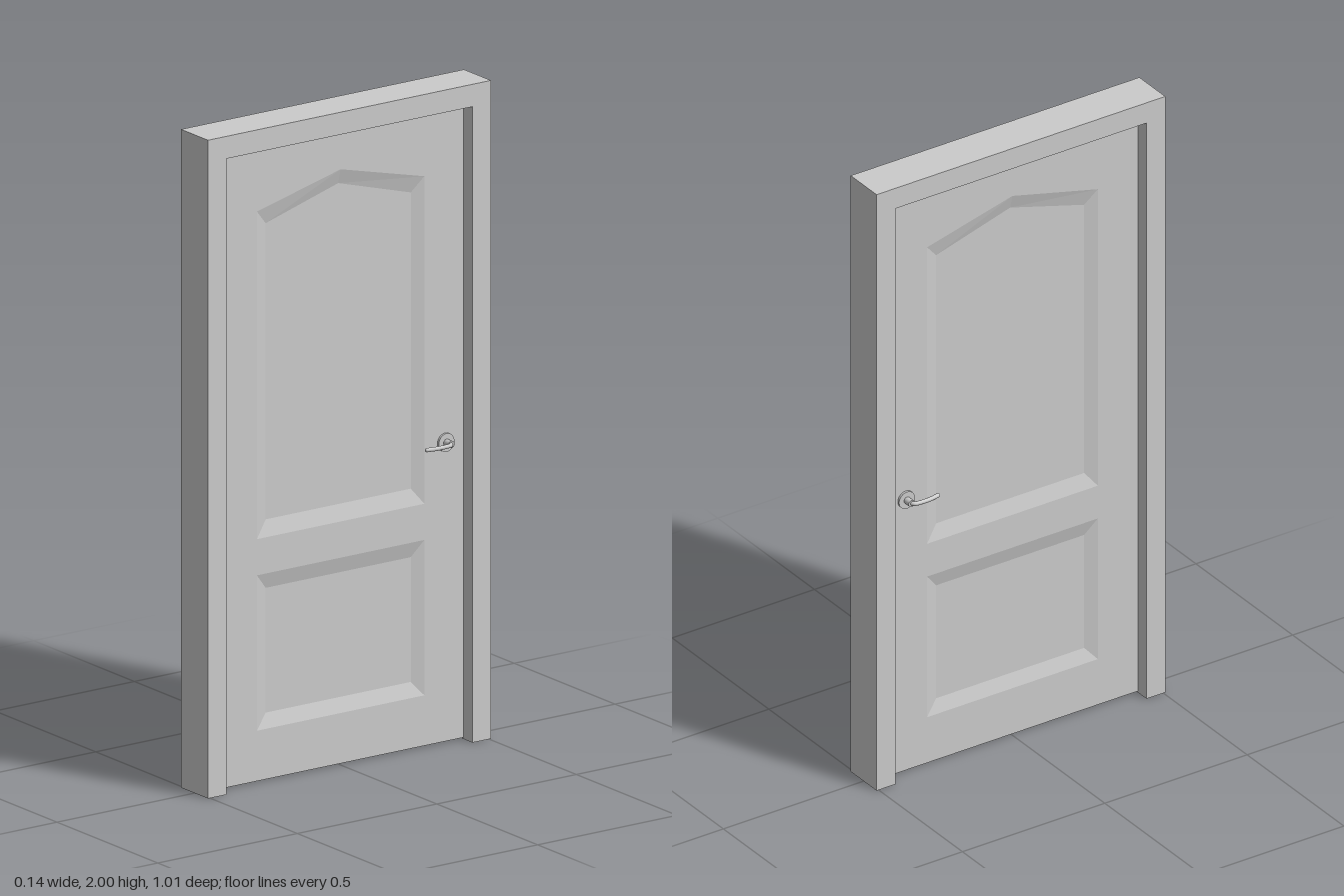
import * as THREE from 'three';

const W = 0.507, H = 2, D = 0.067;        // frame half width, height, half depth
const w = 0.441, T = 1.932;               // opening half width and height
const t = 0.023, RECESS = 0.012;          // door half thickness, panel depth

const mat = new THREE.MeshStandardMaterial({ color: 0xcccccc, side: THREE.DoubleSide });

const points = list => list.map(([x, y]) => new THREE.Vector2(x, y));

// Flat-shaded strip joining two matching outlines at two depths
function strip(a, za, b, zb, closed = true) {
  const pos = [];
  const n = closed ? a.length : a.length - 1;
  for (let i = 0; i < n; i++) {
    const j = (i + 1) % a.length;
    const p = [a[i].x, a[i].y, za], q = [a[j].x, a[j].y, za];
    const r = [b[j].x, b[j].y, zb], s = [b[i].x, b[i].y, zb];
    pos.push(...p, ...q, ...r, ...p, ...r, ...s);
  }
  const g = new THREE.BufferGeometry();
  g.setAttribute('position', new THREE.Float32BufferAttribute(pos, 3));
  g.computeVertexNormals();
  return g;
}

function add(parent, name, geometry) {
  const mesh = new THREE.Mesh(geometry, mat);
  mesh.name = name;
  parent.add(mesh);
  return mesh;
}

// Group whose local +z points to the +x (s = 1) or -x (s = -1) side
function sideGroup(name, s) {
  const g = new THREE.Group();
  g.name = name;
  g.rotation.y = s * Math.PI / 2;
  return g;
}

// Hollow casing, open at the feet
function createFrame() {
  const frame = new THREE.Group();
  frame.name = 'frame';
  const outer = points([[W, 0], [W, H], [-W, H], [-W, 0]]);
  const inner = points([[-w, 0], [-w, T], [w, T], [w, 0]]);
  for (const s of [1, -1]) {
    const side = sideGroup('frameSide', s);
    add(side, 'casingFace', new THREE.ShapeGeometry(new THREE.Shape([...outer, ...inner]))).position.z = D;
    frame.add(side);
  }
  const edges = sideGroup('frameEdges', 1);
  add(edges, 'outerEdge', strip(outer, -D, outer, D, false));
  add(edges, 'jambLining', strip(inner, -D, inner, D, false));
  frame.add(edges);
  return frame;
}

// Outer and inner outlines of the two recessed panels
const PANELS = [
  {
    name: 'upperPanel',
    outer: points([[-0.3, 0.74], [0.3, 0.74], [0.3, 1.735], [0, 1.81], [-0.3, 1.735]]),
    inner: points([[-0.26, 0.79], [0.26, 0.79], [0.26, 1.69], [0, 1.765], [-0.26, 1.69]]),
  },
  {
    name: 'lowerPanel',
    outer: points([[-0.3, 0.158], [0.3, 0.158], [0.3, 0.63], [-0.3, 0.63]]),
    inner: points([[-0.26, 0.203], [0.26, 0.203], [0.26, 0.582], [-0.26, 0.582]]),
  },
];

function createLeaf() {
  const leaf = new THREE.Group();
  leaf.name = 'doorLeaf';
  const outline = points([[-w, 0.005], [w, 0.005], [w, T], [-w, T]]);
  for (const s of [1, -1]) {
    const side = sideGroup('leafSide', s);
    const face = new THREE.Shape(outline);
    for (const { name, outer, inner } of PANELS) {
      face.holes.push(new THREE.Path(outer));
      add(side, name + 'Bevel', strip(outer, t, inner, t - RECESS));
      add(side, name, new THREE.ShapeGeometry(new THREE.Shape(inner))).position.z = t - RECESS;
    }
    add(side, 'leafFace', new THREE.ShapeGeometry(face)).position.z = t;
    leaf.add(side);
  }
  const edges = sideGroup('leafEdges', 1);
  add(edges, 'leafEdge', strip(outline, -t, outline, t));
  leaf.add(edges);
  return leaf;
}

// Lever handle with round rosette
function createHandle(s) {
  const handle = new THREE.Group();
  handle.name = 'handle';
  handle.position.set(0, 0.914, -0.375);
  const disc = (name, radius, from, to) => {
    const m = add(handle, name, new THREE.CylinderGeometry(radius, radius, to - from, 24));
    m.rotation.z = Math.PI / 2;
    m.position.x = s * (from + to) / 2;
  };
  disc('rosette', 0.028, t, t + 0.007);
  disc('spindle', 0.011, t + 0.007, 0.054);
  const path = new THREE.CatmullRomCurve3(
    [[0.05, 0], [0.059, 0.006], [0.0625, 0.025], [0.0625, 0.06], [0.057, 0.09]]
      .map(([x, z]) => new THREE.Vector3(s * x, 0, z)));
  add(handle, 'lever', new THREE.TubeGeometry(path, 24, 0.0065, 10));
  // Rounded lever ends
  for (const u of [0, 1]) {
    add(handle, 'leverEnd', new THREE.SphereGeometry(0.0065, 10, 8)).position.copy(path.getPoint(u));
  }
  return handle;
}

export function createModel() {
  const door = new THREE.Group();
  door.name = 'door';
  door.add(createFrame(), createLeaf(), createHandle(1), createHandle(-1));
  return door;
}
